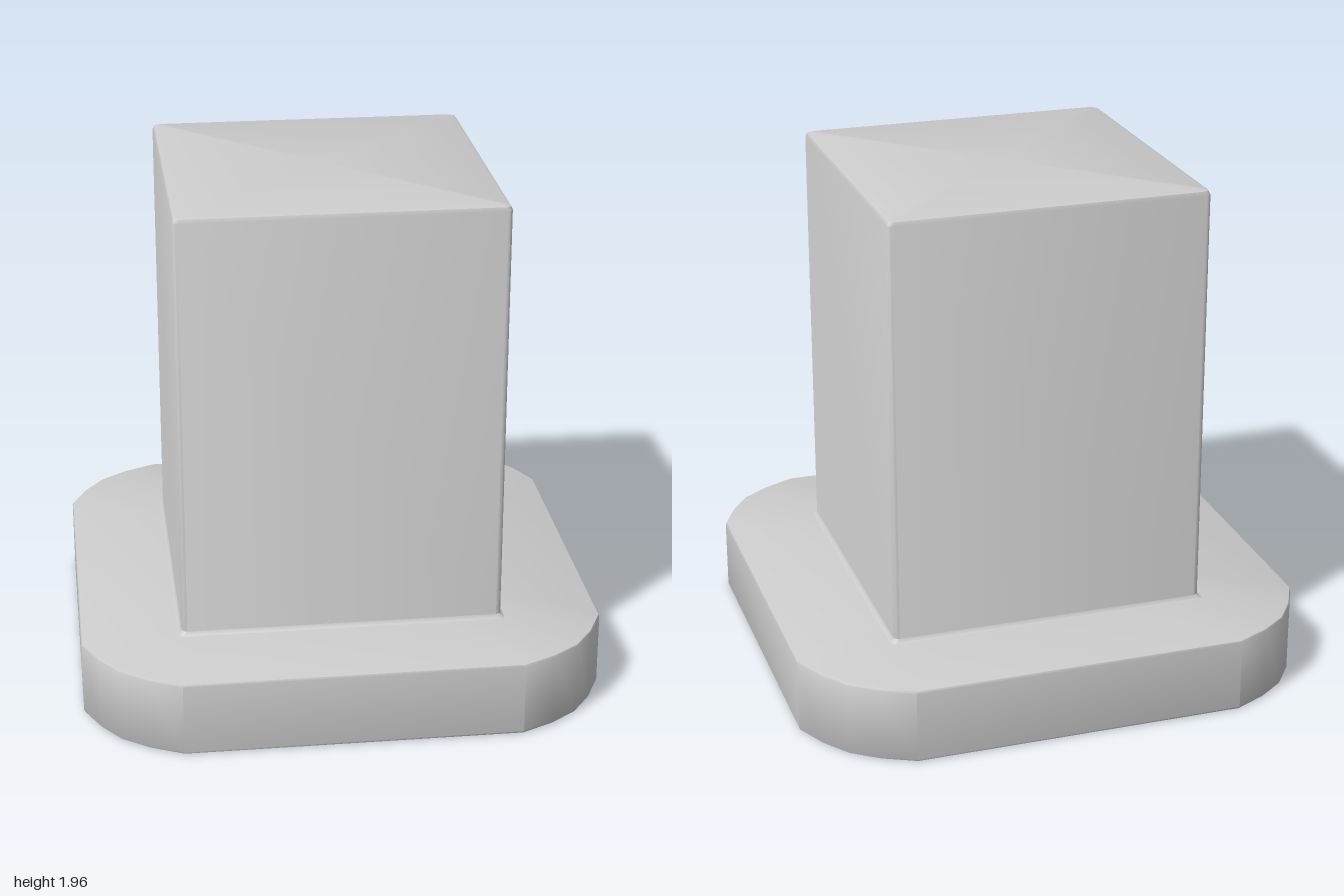
import * as THREE from 'three';
import { toCreasedNormals } from 'three/addons/utils/BufferGeometryUtils.js';

// Repeat one corner (running from the +x side to the +z side) around all four corners
function outline(corner) {
  const points = [];
  for (let q = 0; q < 4; q++) {
    for (const [x, z] of corner) {
      points.push([[x, z], [-z, x], [-x, -z], [z, -x]][q]);
    }
  }
  return points;
}

// Closed solid through stacked rings: each ring is { y, points }, bottom to top
function loft(rings) {
  const n = rings[0].points.length;
  const positions = [];
  const index = [];
  for (const { y, points } of rings) {
    for (const [x, z] of points) positions.push(x, y, z);
  }
  const last = (rings.length - 1) * n;
  const bottom = rings.length * n;
  const top = bottom + 1;
  positions.push(0, rings[0].y, 0, 0, rings[rings.length - 1].y, 0);
  for (let i = 0; i < n; i++) {
    const j = (i + 1) % n;
    for (let r = 0; r < last; r += n) {
      index.push(r + i, r + n + i, r + n + j, r + i, r + n + j, r + j);
    }
    index.push(bottom, i, j, top, last + j, last + i);
  }
  const geometry = new THREE.BufferGeometry();
  geometry.setAttribute('position', new THREE.Float32BufferAttribute(positions, 3));
  geometry.setIndex(index);
  return toCreasedNormals(geometry, 0.6);
}

export function createModel() {
  const group = new THREE.Group();
  group.name = 'pedestal';
  const material = new THREE.MeshStandardMaterial({ color: 0xcccccc });
  const add = (name, geometry) => {
    const mesh = new THREE.Mesh(geometry, material);
    mesh.name = name;
    group.add(mesh);
  };

  // Base plate: square with broad four-sided corners and softened rims
  const plate = [[1, 0.64], [0.94, 0.765], [0.866, 0.866], [0.765, 0.94], [0.64, 1]];
  const plateProfile = [[0, 0.99], [0.003, 0.997], [0.01, 1], [0.285, 1], [0.292, 0.997], [0.295, 0.99]];
  add('basePlate', loft(plateProfile.map(([y, s]) => ({
    y, points: outline(plate.map(([x, z]) => [x * s, z * s])),
  }))));

  // Block: tall square prism with small rounded edges and a tiny flare at its foot
  const radius = 0.02;
  const blockProfile = [[0.293, 0.635], [0.298, 0.625], [0.31, 0.617],
    [1.941, 0.617], [1.955, 0.611], [1.961, 0.597]];
  add('block', loft(blockProfile.map(([y, half]) => {
    const corner = [];
    for (let k = 0; k <= 3; k++) {
      const a = k * Math.PI / 6;
      corner.push([half - radius + radius * Math.cos(a), half - radius + radius * Math.sin(a)]);
    }
    return { y, points: outline(corner) };
  })));

  return group;
}
